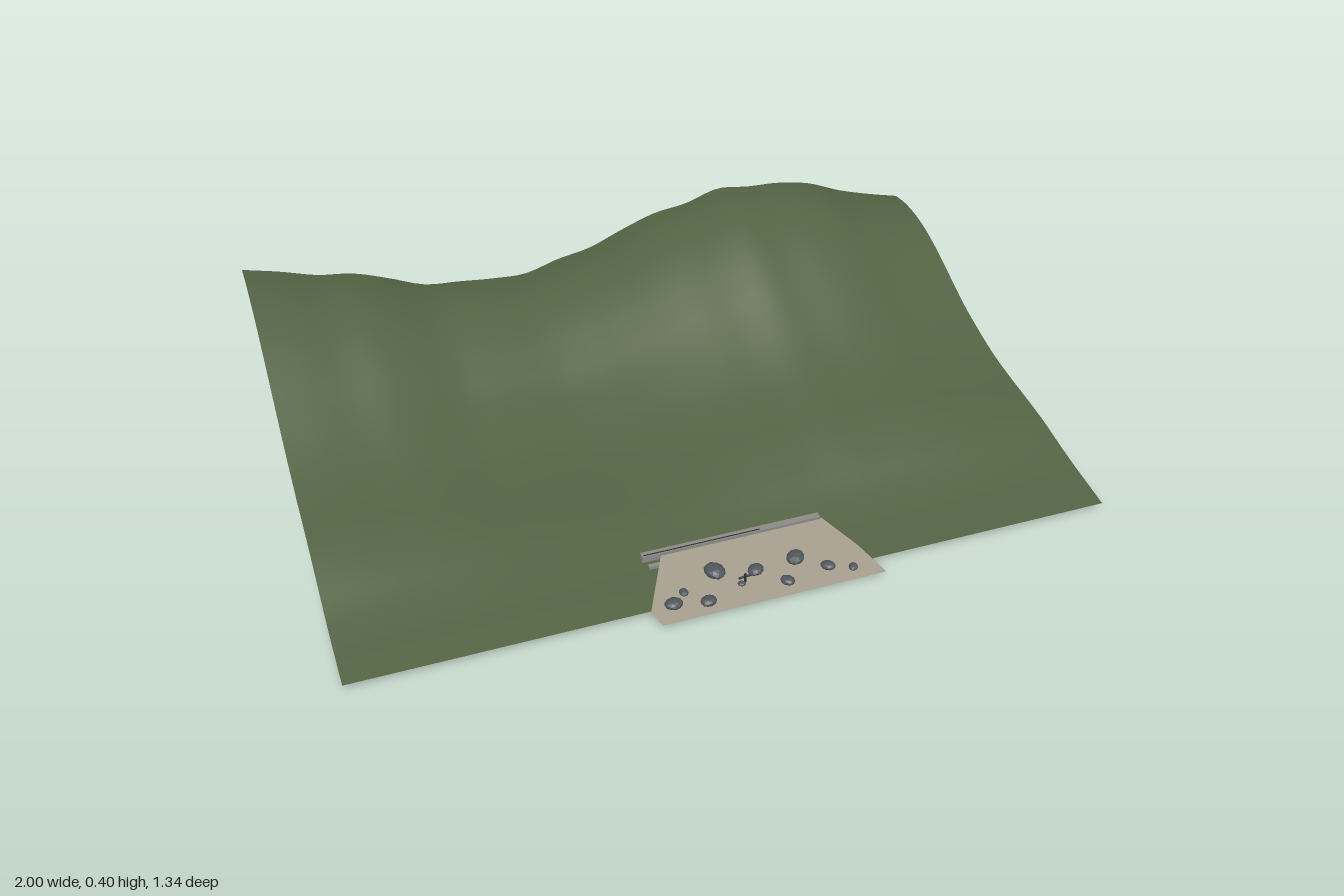
import * as THREE from 'three';

// smooth one-dimensional curve through a few heights
function profile(xs, ys) {
  const c = new THREE.CubicInterpolant(xs, ys, 1);
  return (x) => c.evaluate(THREE.MathUtils.clamp(x, xs[0], xs[xs.length - 1]))[0];
}

const zs = [-0.67, -0.6, -0.5, -0.4, -0.3, -0.2, -0.1, 0, 0.1, 0.2, 0.3, 0.4, 0.47, 0.54, 0.615];
const valley = profile(zs, [0.22, 0.23, 0.225, 0.2, 0.163, 0.125, 0.1, 0.08, 0.07, 0.065, 0.06, 0.048, 0.039, 0.031, 0.022]);
const crest = profile(zs, [0.398, 0.4, 0.385, 0.35, 0.302, 0.25, 0.202, 0.165, 0.14, 0.12, 0.09, 0.055, 0.039, 0.031, 0.022]);
const ridge = [0.395, 0.37, 0.34, 0.325, 0.29, 0.25, 0.24, 0.23, 0.227, 0.255, 0.275,
  0.315, 0.35, 0.365, 0.395, 0.385, 0.38, 0.36, 0.32, 0.29, 0.265];
const ridgeAt = profile(ridge.map((_, i) => -1 + i * 0.1), ridge.map((h) => (h - 0.225) / 0.172));

const groundY = (x, z) => THREE.MathUtils.lerp(valley(z), crest(z), ridgeAt(x));
const patchY = (z) => 0.016 + (0.665 - z) * 0.19;

export function createModel() {
  const model = new THREE.Group();
  const mat = (color, extra) => new THREE.MeshStandardMaterial({ color, ...extra });
  const grass = mat(0x536343, { side: THREE.DoubleSide });
  const dirt = mat(0xa39b8b, { side: THREE.DoubleSide });
  const stone = mat(0x50565a, { flatShading: true });
  const kerbGrey = mat(0x8c8a86);
  const dark = mat(0x303234);

  const add = (name, geo, material, x = 0, y = 0, z = 0) => {
    const mesh = new THREE.Mesh(geo, material);
    mesh.name = name;
    mesh.position.set(x, y, z);
    model.add(mesh);
    return mesh;
  };

  // rolling hillside
  const hill = new THREE.PlaneGeometry(2, 1.285, 72, 46).rotateX(-Math.PI / 2).translate(0, 0, -0.0275);
  const p = hill.attributes.position;
  for (let i = 0; i < p.count; i++) p.setY(i, groundY(p.getX(i), p.getZ(i)));
  hill.computeVertexNormals();
  add('hillside', hill, grass);

  // sloping gravel patch
  const outline = [[-0.17, 0.462], [0.265, 0.462], [0.32, 0.57], [0.355, 0.665], [-0.235, 0.665], [-0.25, 0.62]];
  const patch = new THREE.ShapeGeometry(new THREE.Shape(outline.map(([x, z]) => new THREE.Vector2(x, -z))));
  patch.rotateX(-Math.PI / 2);
  const q = patch.attributes.position;
  for (let i = 0; i < q.count; i++) q.setY(i, patchY(q.getZ(i)));
  patch.computeVertexNormals();
  add('gravelPatch', patch, dirt);

  // low kerb behind the patch
  add('kerb', new THREE.BoxGeometry(0.48, 0.018, 0.018), kerbGrey, 0.02, 0.053, 0.456);
  add('kerbFooting', new THREE.BoxGeometry(0.44, 0.008, 0.012), kerbGrey, 0.02, 0.034, 0.478);
  add('kerbEndStrip', new THREE.BoxGeometry(0.04, 0.008, 0.012), kerbGrey, -0.19, 0.044, 0.485);
  add('kerbSeam', new THREE.BoxGeometry(0.31, 0.002, 0.003), dark, -0.06, 0.062, 0.46);

  // scattered rocks: x, z, radius
  const rocks = [[-0.19, 0.615, 0.022], [-0.155, 0.588, 0.013], [-0.105, 0.63, 0.02], [-0.06, 0.55, 0.028],
    [0.04, 0.573, 0.021], [0.105, 0.625, 0.018], [0.15, 0.565, 0.025], [0.22, 0.61, 0.018],
    [0.28, 0.63, 0.013], [-0.008, 0.602, 0.01]];
  rocks.forEach(([x, z, r], i) => {
    const rock = add('rock', new THREE.IcosahedronGeometry(r, 1), stone, x, patchY(z) + r * 0.2, z);
    rock.scale.set(1.08, 0.55, 0.9);
    rock.rotation.y = i * 1.7;
  });

  // thin stake and a twig lying in the gravel
  add('stake', new THREE.CylinderGeometry(0.003, 0.003, 0.055, 6), dark, 0.003, 0.0275, 0.597);
  const twig = add('twig', new THREE.CylinderGeometry(0.003, 0.003, 0.06, 6), dark, 0.02, patchY(0.585) + 0.004, 0.585);
  twig.rotation.set(0, 0.1, Math.PI / 2);

  return model;
}
